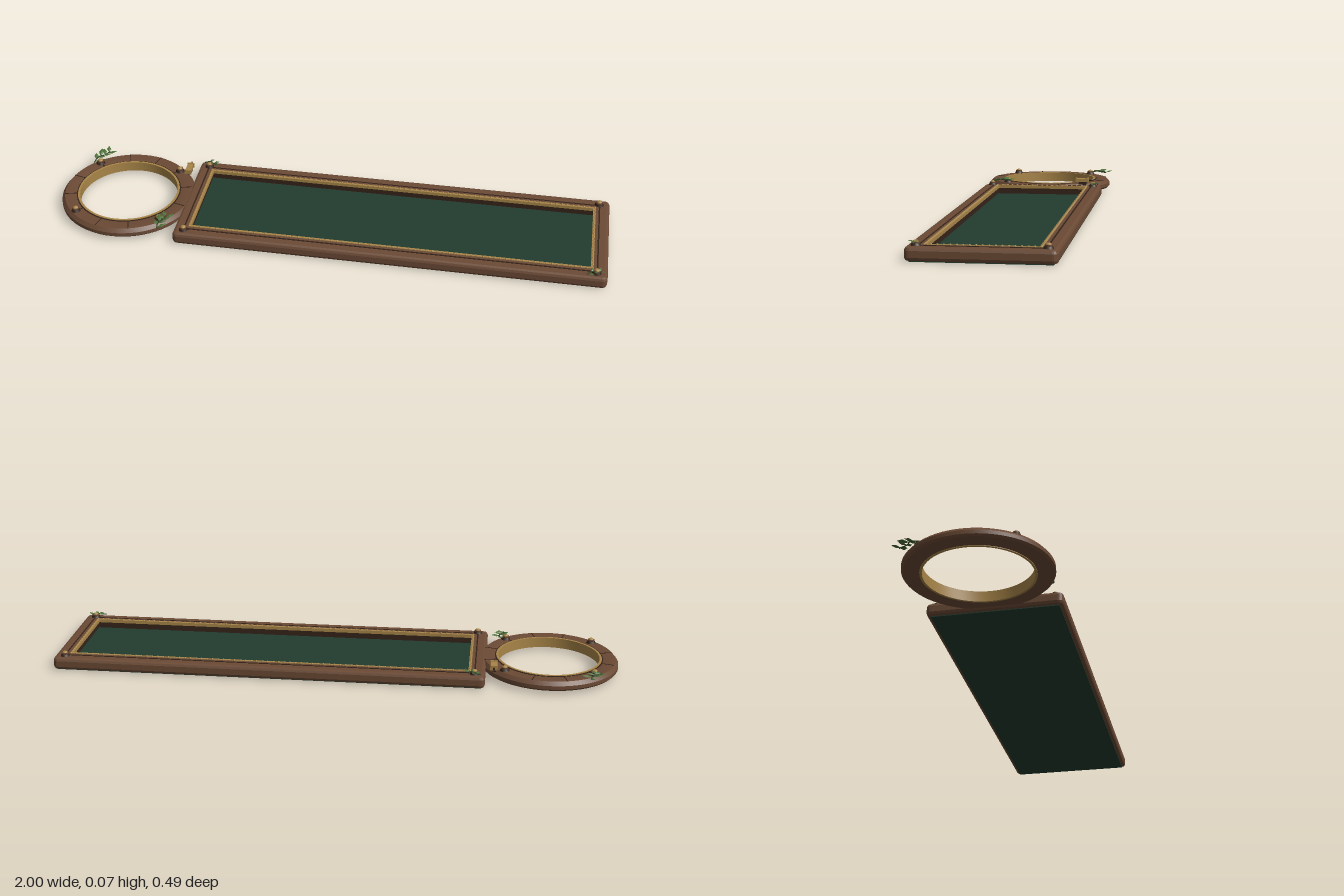
import * as THREE from 'three';
import { mergeGeometries, toCreasedNormals } from 'three/addons/utils/BufferGeometryUtils.js';

const mat = (name, color, side = THREE.FrontSide) => {
  const m = new THREE.MeshStandardMaterial({ color, side });
  m.name = name;
  return m;
};

export function createModel() {
  const wood = mat('walnut wood', 0x6b4a35);
  const dark = mat('dark wood', 0x35241a);
  const gold = mat('aged brass', 0xa88548);
  const green = mat('green panel', 0x223c2f);
  const leafMat = mat('leaf green', 0x4d7038, THREE.DoubleSide);
  const vineMat = mat('vine green', 0x36492a);

  const model = new THREE.Group();
  model.name = 'framedBoardWithRing';
  const add = (name, geo, material, x = 0, y = 0, z = 0, parent = model) => {
    const m = new THREE.Mesh(geo, material);
    m.name = name;
    m.position.set(x, y, z);
    parent.add(m);
    return m;
  };

  // Rounded rectangle outline, half sizes a and b
  const rect = (Type, a, b, r) => {
    const s = new Type();
    s.moveTo(-a + r, -b);
    s.lineTo(a - r, -b); s.quadraticCurveTo(a, -b, a, -b + r);
    s.lineTo(a, b - r); s.quadraticCurveTo(a, b, a - r, b);
    s.lineTo(-a + r, b); s.quadraticCurveTo(-a, b, -a, b - r);
    s.lineTo(-a, -b + r); s.quadraticCurveTo(-a, -b, -a + r, -b);
    return s;
  };
  // Flat rectangular border lying in xz; outer and inner are half sizes
  const border = (outer, inner, height, bevel, r) => {
    const s = rect(THREE.Shape, outer[0] - bevel, outer[1] - bevel, r);
    s.holes.push(rect(THREE.Path, inner[0] + bevel, inner[1] + bevel, 0.002));
    const g = new THREE.ExtrudeGeometry(s, {
      depth: height - 2 * bevel, bevelEnabled: bevel > 0, bevelSize: bevel,
      bevelThickness: bevel, bevelSegments: 2, curveSegments: 4,
    });
    return g.translate(0, 0, bevel).rotateX(-Math.PI / 2);
  };

  // Long board: frame, backing panel and trims
  const CX = 0.232;
  add('frame', border([0.766, 0.232], [0.717, 0.18], 0.043, 0.011, 0.008), wood, CX, 0.003);
  add('innerMoulding', border([0.729, 0.193], [0.713, 0.177], 0.03, 0, 0.002), wood, CX, 0.0165);
  add('grooveLine', border([0.732, 0.196], [0.727, 0.191], 0.002, 0, 0.002), dark, CX, 0.0455);
  add('recessWall', border([0.718, 0.182], [0.711, 0.175], 0.024, 0, 0.002), dark, CX, 0.012);
  add('brassTrim', border([0.716, 0.18], [0.707, 0.171], 0.012, 0, 0.002), gold, CX, 0.036);
  add('panel', new THREE.BoxGeometry(1.506, 0.014, 0.436), green, CX, 0.007);

  // Beading along the brass trim
  const beads = [];
  const bead = (x, z) => beads.push(new THREE.SphereGeometry(0.0045, 7, 5).translate(x, 0.047, z));
  const a = 0.713, b = 0.177;
  for (let i = 0; i <= 72; i++) for (const s of [-1, 1]) bead(-a + (2 * a * i) / 72, s * b);
  for (let i = 1; i < 18; i++) for (const s of [-1, 1]) bead(s * a, -b + (2 * b * i) / 18);
  add('brassBeading', mergeGeometries(beads), gold, CX);

  // Ring: chamfered wooden band with a brass lining
  const ring = new THREE.Group();
  ring.name = 'ring';
  ring.position.x = -0.755;
  model.add(ring);
  const lathe = (pts, n = 64) => toCreasedNormals(
    new THREE.LatheGeometry(pts.map(p => new THREE.Vector2(...p)), n).toNonIndexed(), 0.5);
  add('ringBody', lathe([[0.185, 0.012], [0.238, 0.012], [0.245, 0.019], [0.245, 0.032],
    [0.234, 0.045], [0.195, 0.045], [0.185, 0.041], [0.185, 0.012]]), wood, 0, 0, 0, ring);
  add('ringLining', lathe([[0.179, 0.01], [0.187, 0.01], [0.187, 0.047], [0.179, 0.047],
    [0.179, 0.01]]), gold, 0, 0, 0, ring);
  add('ringGroove', lathe([[0.187, 0.044], [0.191, 0.044], [0.191, 0.0455], [0.187, 0.0455]]),
    dark, 0, 0, 0, ring);
  const joints = [];
  for (let i = 0; i < 12; i++) {
    joints.push(new THREE.BoxGeometry(0.043, 0.002, 0.003)
      .translate(0.2125, 0.045, 0).rotateY(((i + 0.5) * Math.PI) / 6));
  }
  add('ringJoints', mergeGeometries(joints), dark, 0, 0, 0, ring);

  // Studs: dark washer with a brass dome
  const stud = (name, x, z) => {
    const g = new THREE.Group();
    g.name = name;
    g.position.set(x, 0.045, z);
    model.add(g);
    add('washer', new THREE.CylinderGeometry(0.013, 0.017, 0.008, 12), dark, 0, 0.004, 0, g);
    add('collar', new THREE.CylinderGeometry(0.012, 0.012, 0.007, 12), wood, 0, 0.0095, 0, g);
    add('dome', new THREE.SphereGeometry(0.0095, 12, 5, 0, Math.PI * 2, 0, Math.PI / 2)
      .scale(1, 0.6, 1), gold, 0, 0.013, 0, g);
  };
  for (const x of [-0.497, 0.96]) for (const z of [-0.2, 0.2]) stud('cornerStud', x, z);
  for (const x of [-0.91, -0.6]) for (const z of [-0.153, 0.153]) stud('ringStud', x, z);

  // Leaf sprigs: a curved vine with folded pointed leaves on both sides
  const leafGeometry = (len) => {
    const w = len * 0.27, h = len * 0.12;
    const v = [0, 0, 0, len * 0.5, 0, w, len, 0, 0, len * 0.5, h, 0, len * 0.5, 0, -w];
    const g = new THREE.BufferGeometry();
    g.setAttribute('position', new THREE.Float32BufferAttribute(v, 3));
    g.setIndex([0, 1, 3, 1, 2, 3, 0, 3, 4, 3, 2, 4]);
    const flat = g.toNonIndexed();
    flat.computeVertexNormals();
    return flat;
  };
  const sprig = (x, z, angle, size, count) => {
    const g = new THREE.Group();
    g.name = 'leafSprig';
    g.position.set(x, 0.056, z);
    g.rotation.y = angle;
    model.add(g);
    const path = new THREE.CatmullRomCurve3([[-1, -0.18, 0.15], [-0.3, 0, -0.1], [0.3, 0.03, 0.1],
      [1, -0.05, -0.1]].map(p => new THREE.Vector3(...p).multiplyScalar(size)));
    add('vine', new THREE.TubeGeometry(path, 12, 0.0022, 5), vineMat, 0, 0, 0, g);
    for (let i = 0; i < count; i++) {
      const p = path.getPoint((i + 0.5) / count);
      const leaf = add('leaf', leafGeometry(size * (i % 3 ? 0.75 : 0.95)), leafMat, p.x, p.y, p.z, g);
      leaf.rotation.set(0.15 * (i % 2 ? 1 : -1), (i % 2 ? 1 : -1) * (0.7 + 0.2 * (i % 3)), 0.12);
    }
  };
  sprig(-0.915, -0.185, 0.95, 0.042, 8);
  sprig(-0.585, 0.178, 1.25, 0.038, 8);
  sprig(-0.492, -0.212, -0.3, 0.027, 5);
  sprig(0.95, 0.208, 0.3, 0.027, 5);

  // Clasp beside the ring
  const clasp = new THREE.Group();
  clasp.name = 'clasp';
  clasp.position.set(-0.563, 0.062, -0.152);
  model.add(clasp);
  add('claspBody', new THREE.BoxGeometry(0.022, 0.012, 0.044), gold, 0, 0, 0, clasp);
  for (const s of [-1, 1]) {
    add('claspEnd', new THREE.BoxGeometry(0.026, 0.017, 0.006), gold, 0, 0, s * 0.023, clasp);
  }
  add('claspFoot', new THREE.BoxGeometry(0.016, 0.014, 0.03), dark, 0, -0.011, 0, clasp);
  add('claspPin', new THREE.CylinderGeometry(0.003, 0.003, 0.066, 8).rotateX(Math.PI / 2),
    dark, 0, 0, -0.008, clasp);

  return model;
}
